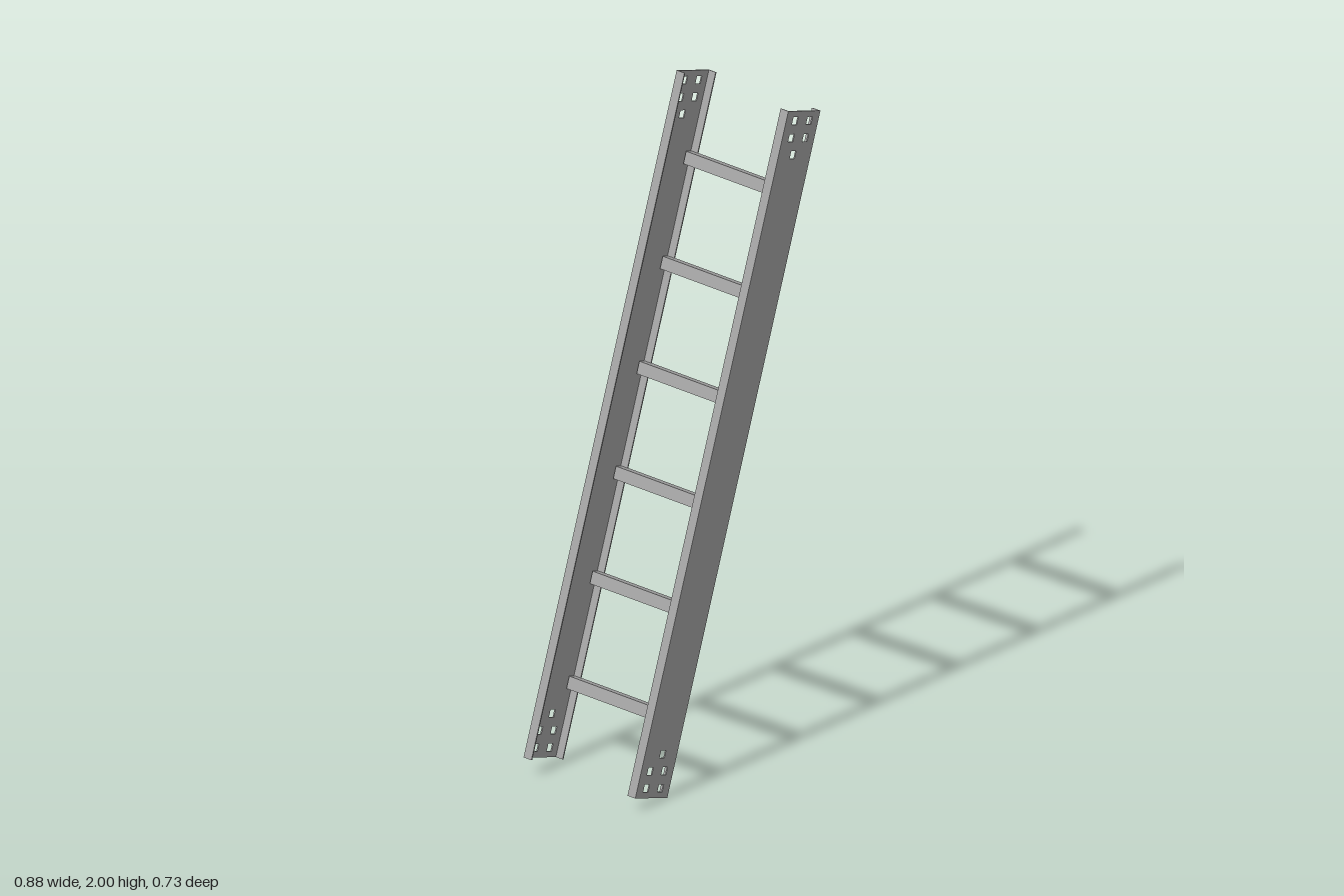
import * as THREE from 'three';

// Local axes: x = rail depth, y = length, z = across the ladder
const LENGTH = 2.036, DEPTH = 0.149, WIDTH = 0.417;
const FLANGE = 0.029, SHEET = 0.004, HOLE = 0.023;
const RUNGS = 6, RUNG_STEP = 0.311, RUNG_SHIFT = -0.0175;
const RUNG_DEPTH = 0.032, RUNG_WIDTH = 0.037, RUNG_LIP = 0.012;

export function createModel() {
  const model = new THREE.Group();
  model.name = 'ladder';
  const steel = new THREE.MeshStandardMaterial({ color: 0xa2a2a2 });
  steel.name = 'galvanised grey';

  const addBox = (parent, name, size, pos) => {
    const mesh = new THREE.Mesh(new THREE.BoxGeometry(...size), steel);
    mesh.name = name;
    mesh.position.set(...pos);
    parent.add(mesh);
  };

  // Flat web with five square bolt holes at each end
  const outline = (x, y, w, h, Type) => new Type([
    [-1, -1], [1, -1], [1, 1], [-1, 1],
  ].map(([i, j]) => new THREE.Vector2(x + i * w / 2, y + j * h / 2)));
  const web = outline(0, 0, DEPTH, LENGTH, THREE.Shape);
  const holes = [[-0.033, 0.029], [0.033, 0.029], [-0.033, 0.08], [0.033, 0.08], [-0.008, 0.13]];
  for (const end of [1, -1]) {
    for (const [x, inset] of holes) {
      web.holes.push(outline(end * x, end * (LENGTH / 2 - inset), HOLE, HOLE, THREE.Path));
    }
  }
  const webGeometry = new THREE.ExtrudeGeometry(web, { depth: SHEET, bevelEnabled: false });
  webGeometry.translate(0, 0, -SHEET / 2);

  // Two channel rails with their flanges facing inward
  for (const side of [1, -1]) {
    const rail = new THREE.Group();
    rail.name = side > 0 ? 'frontRail' : 'backRail';
    const plate = new THREE.Mesh(webGeometry, steel);
    plate.name = 'railWeb';
    plate.position.z = side * (WIDTH - SHEET) / 2;
    rail.add(plate);
    for (const edge of [1, -1]) {
      addBox(rail, 'railFlange', [SHEET, LENGTH, FLANGE],
        [edge * (DEPTH - SHEET) / 2, 0, side * (WIDTH - FLANGE) / 2]);
    }
    model.add(rail);
  }

  // Slotted channel rungs, open toward the underside
  const span = WIDTH - 0.016;
  for (let i = 0; i < RUNGS; i++) {
    const rung = new THREE.Group();
    rung.name = 'rung' + (i + 1);
    addBox(rung, 'rungBack', [SHEET, RUNG_WIDTH, span], [-(RUNG_DEPTH - SHEET) / 2, 0, 0]);
    for (const s of [1, -1]) {
      addBox(rung, 'rungSide', [RUNG_DEPTH, SHEET, span], [0, s * (RUNG_WIDTH - SHEET) / 2, 0]);
      addBox(rung, 'rungLip', [SHEET, RUNG_LIP, span],
        [(RUNG_DEPTH - SHEET) / 2, s * (RUNG_WIDTH - RUNG_LIP) / 2, 0]);
    }
    rung.position.set(DEPTH / 2 - RUNG_DEPTH / 2 + 0.001,
      (i - (RUNGS - 1) / 2) * RUNG_STEP + RUNG_SHIFT, 0);
    model.add(rung);
  }

  // Lean the whole ladder
  const along = new THREE.Vector3(0.258, 0.955, -0.152).normalize();
  const across = new THREE.Vector3(0.585, -0.026, 0.811);
  across.addScaledVector(along, -across.dot(along)).normalize();
  const depth = new THREE.Vector3().crossVectors(along, across);
  model.quaternion.setFromRotationMatrix(new THREE.Matrix4().makeBasis(depth, along, across));
  model.position.y = 1;

  const root = new THREE.Group();
  root.name = 'leaningLadder';
  root.add(model);
  return root;
}
